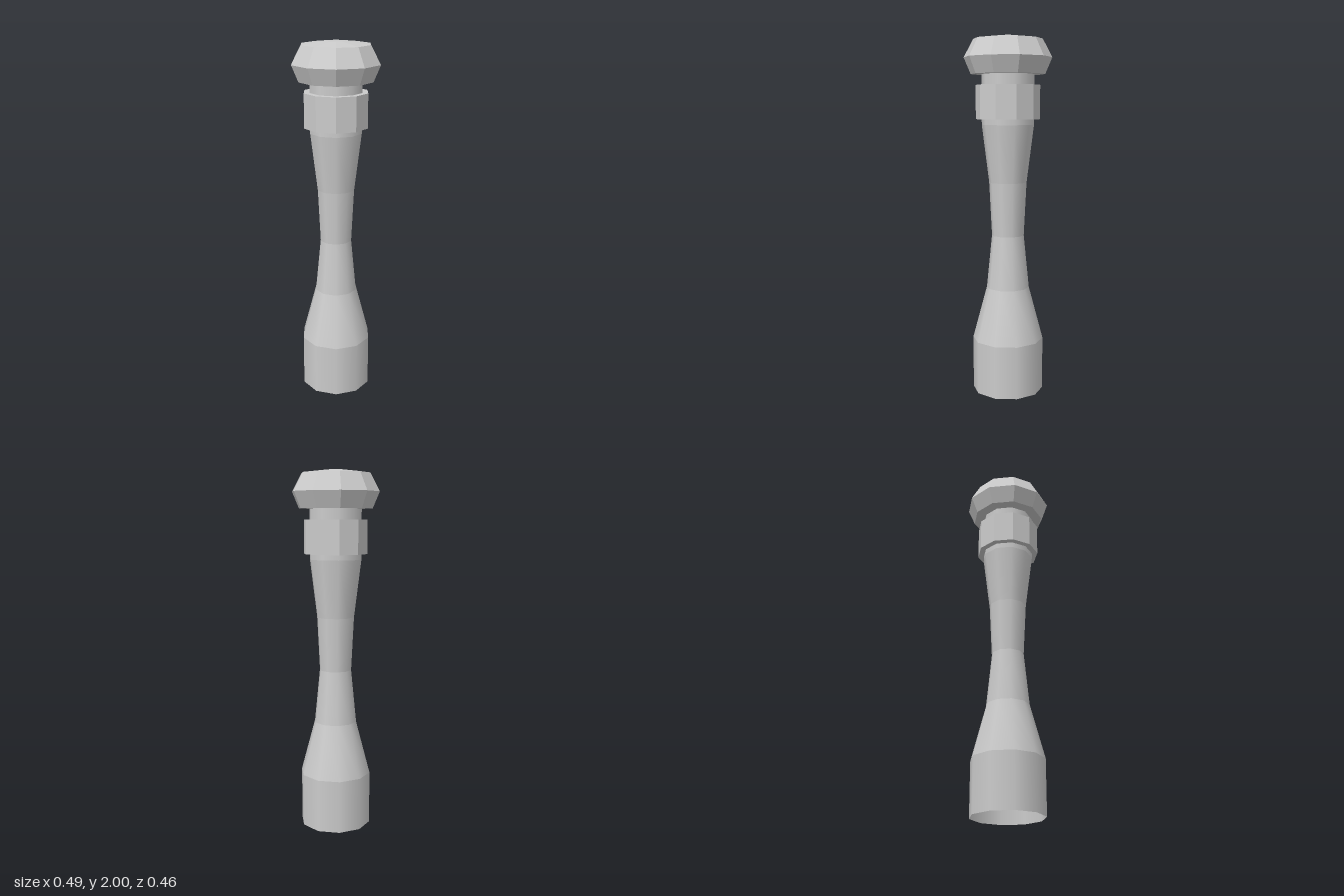
import * as THREE from 'three';

const SIDES = 10;
const smooth = new THREE.MeshStandardMaterial({ color: 0xcccccc, side: THREE.DoubleSide });
const faceted = new THREE.MeshStandardMaterial({ color: 0xcccccc, flatShading: true, side: THREE.DoubleSide });

// Ten-sided turned part from [radius, height] pairs, with corners on the x axis
function turned(name, profile, material) {
  const points = profile.map(([r, y]) => new THREE.Vector2(r, y));
  const mesh = new THREE.Mesh(new THREE.LatheGeometry(points, SIDES, Math.PI / 2), material);
  mesh.name = name;
  return mesh;
}

export function createModel() {
  const model = new THREE.Group();
  model.name = 'handle';

  // Waisted shaft, open at the bottom; each band is smooth around and creased at its ends
  const shaft = new THREE.Group();
  shaft.name = 'shaft';
  const rings = [[0.2, 0], [0.2, 0.3], [0.12, 0.6], [0.09, 0.9], [0.105, 1.2], [0.145, 1.52], [0.145, 1.8]];
  for (let i = 0; i < rings.length - 1; i++) {
    shaft.add(turned('shaftBand' + (i + 1), [rings[i], rings[i + 1]], smooth));
  }
  model.add(shaft);

  // Collar around the neck
  model.add(turned('collar', [[0.14, 1.55], [0.178, 1.55], [0.178, 1.737], [0.14, 1.737]], faceted));

  // Bevelled knob with a shallow domed top
  model.add(turned('knob', [[0, 1.795], [0.205, 1.795], [0.243, 1.885], [0.19, 1.984], [0.053, 2], [0, 2]], faceted));

  return model;
}
